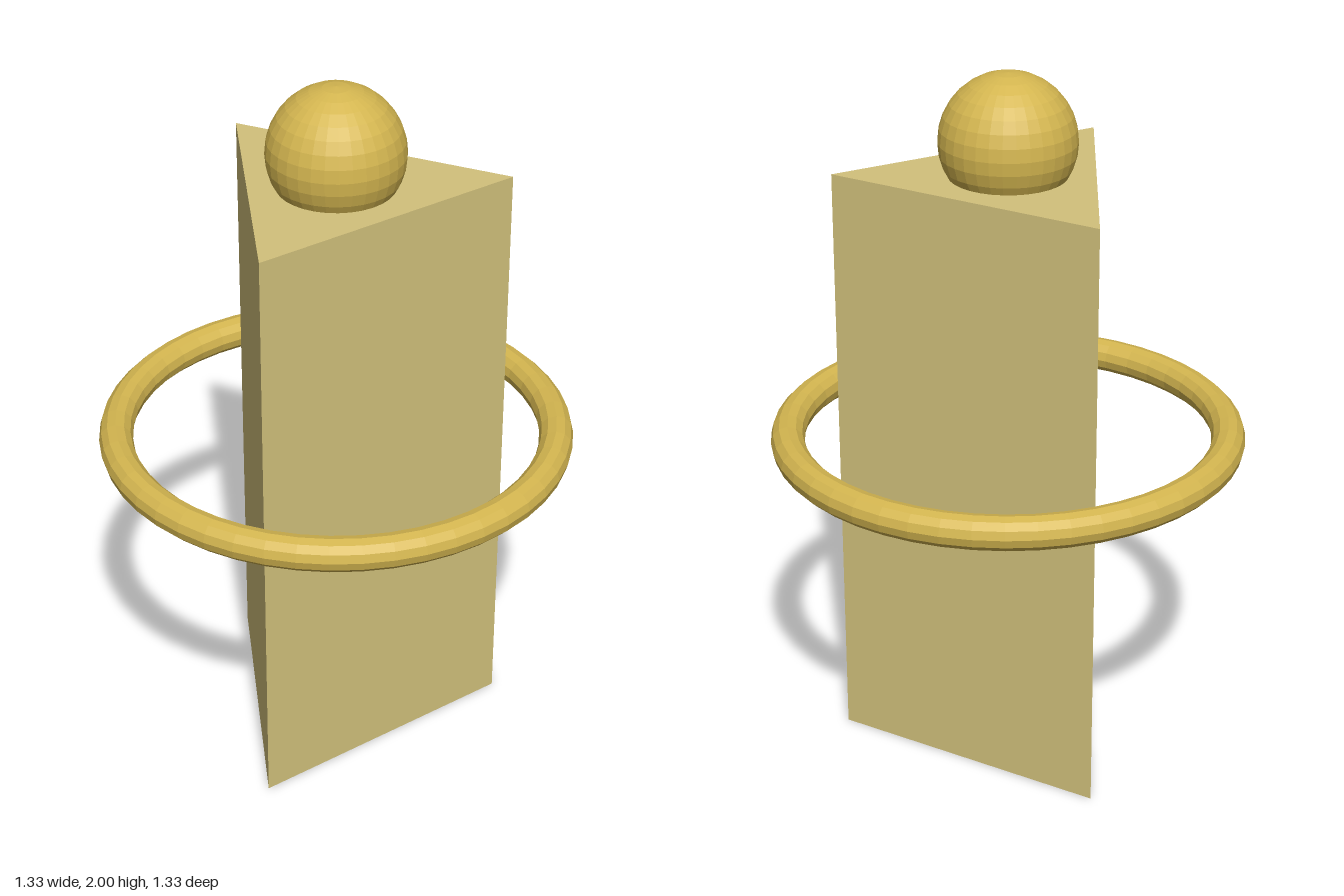
import * as THREE from 'three';

export function createModel() {
  const model = new THREE.Group();
  const paleGold = new THREE.MeshStandardMaterial({ name: 'paleGold', color: 0xd2c17c });
  const gold = new THREE.MeshStandardMaterial({ name: 'gold', color: 0xd4b650 });

  const add = (name, geometry, material, y) => {
    // unshared vertices give crisp facets
    const faceted = geometry.toNonIndexed();
    faceted.computeVertexNormals();
    const mesh = new THREE.Mesh(faceted, material);
    mesh.name = name;
    mesh.position.y = y;
    model.add(mesh);
    return mesh;
  };

  // Triangular column, one edge pointing back
  const height = 1.714;
  add('column', new THREE.CylinderGeometry(0.476, 0.476, height, 3), paleGold, height / 2)
    .rotation.y = Math.PI;

  // Ball resting slightly sunk into the column top
  add('ball', new THREE.SphereGeometry(0.19, 32, 16), gold, 1.81);

  // Floating horizontal ring around the middle
  add('ring', new THREE.TorusGeometry(0.619, 0.0476, 12, 48).rotateX(Math.PI / 2), gold, 0.953);

  return model;
}
